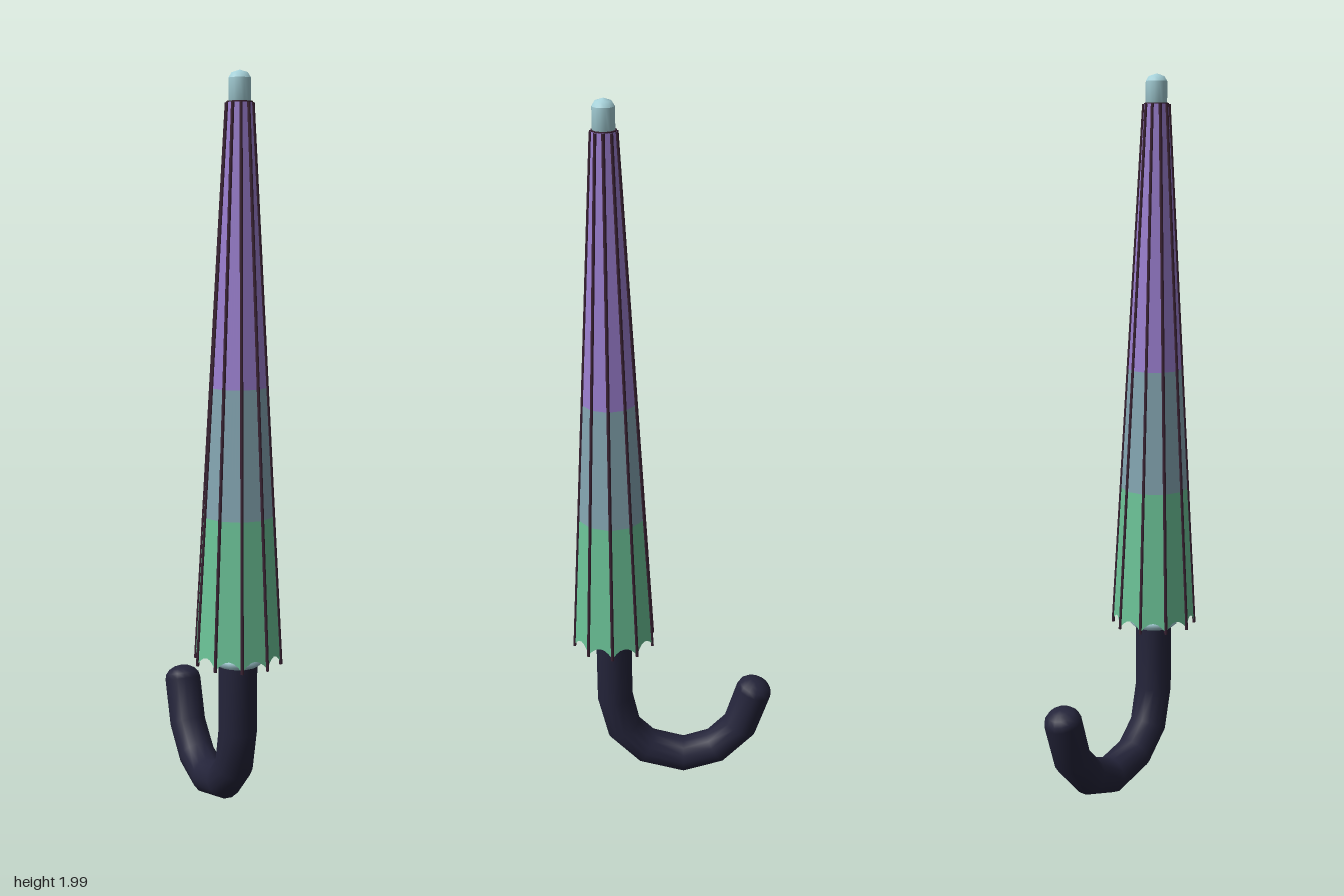
import * as THREE from 'three';

const AXIS_Z = 0.172, PANELS = 10, TOP = 1.92, HEM = 0.465;
const mat = (name, color, side = THREE.FrontSide) => {
  const m = new THREE.MeshStandardMaterial({ color, side });
  m.name = name;
  return m;
};

export function createModel() {
  const purple = mat('purple cloth', 0x9b7fd0, THREE.DoubleSide);
  const teal = mat('teal cloth', 0x84a6b2, THREE.DoubleSide);
  const green = mat('green cloth', 0x6cc498, THREE.DoubleSide);
  purple.flatShading = teal.flatShading = green.flatShading = true;
  const dark = mat('dark rib', 0x3a2233);
  const navy = mat('navy handle', 0x24243a);
  const pale = mat('pale metal', 0xa5d0d8);

  const root = new THREE.Group();
  root.name = 'closedUmbrella';
  const body = new THREE.Group();
  body.name = 'canopyAssembly';
  body.position.z = AXIS_Z;
  root.add(body);
  const add = (parent, name, geo, material, y = 0) => {
    const m = new THREE.Mesh(geo, material);
    m.name = name;
    m.position.y = y;
    parent.add(m);
    return m;
  };

  // Canopy: ten flat panels in three bands, hem arched between the ribs
  const radiusAt = y => 0.117 + (0.034 - 0.117) * (y - HEM) / (TOP - HEM);
  const step = Math.PI * 2 / PANELS;
  const band = (name, y0, y1, arch, material) => {
    const geo = new THREE.CylinderGeometry(1, 1, 1, PANELS * 6, 1, true, step / 2);
    const p = geo.attributes.position;
    for (let i = 0; i < p.count; i++) {
      const t = ((i % (PANELS * 6 + 1)) % 6) / 6;
      const a = Math.atan2(p.getX(i), p.getZ(i));
      const y = p.getY(i) > 0 ? y1 : y0 + arch * 4 * t * (1 - t);
      const r = radiusAt(y) * Math.cos(step / 2) / Math.cos((t - 0.5) * step);
      p.setXYZ(i, Math.sin(a) * r, y, Math.cos(a) * r);
    }
    geo.computeVertexNormals();
    add(body, name, geo, material);
  };
  band('canopyTop', 1.2, TOP, 0, purple);
  band('canopyMiddle', 0.86, 1.2, 0, teal);
  band('canopyHem', HEM, 0.86, 0.025, green);
  add(body, 'canopyCap', new THREE.CylinderGeometry(0.034, 0.034, 0.006, PANELS, 1, false, step / 2), dark, TOP);

  // Ribs along the panel seams
  for (let i = 0; i < PANELS; i++) {
    const a = i * step;
    const at = (y, r) => new THREE.Vector3(Math.cos(a) * r, y, Math.sin(a) * r);
    const path = new THREE.LineCurve3(at(HEM - 0.005, 0.117), at(TOP, 0.034));
    add(body, 'rib', new THREE.TubeGeometry(path, 1, 0.0045, 6), dark);
  }

  // Tip with a rounded end
  const tip = [[0, 1.9], [0.029, 1.9], [0.029, 1.98], [0.029, 1.98], [0.021, 1.993], [0, 2]];
  add(body, 'tip', new THREE.LatheGeometry(tip.map(([x, y]) => new THREE.Vector2(x, y)), 14), pale);

  // Shaft and collar under the canopy
  add(body, 'shaft', new THREE.CylinderGeometry(0.02, 0.02, 1.46, 10), pale, 1.18);
  const collar = [[0, 0.452], [0.058, 0.452], [0.068, 0.461], [0.068, 0.473], [0.058, 0.485], [0, 0.485]];
  add(body, 'collar', new THREE.LatheGeometry(collar.map(([x, y]) => new THREE.Vector2(x, y)), 16), pale);

  // Hooked handle: one ring of the tube at every listed point
  const hook = [[0.172, 0.47], [0.172, 0.265], [0.147, 0.155], [0.08, 0.087], [-0.03, 0.057],
    [-0.125, 0.087], [-0.197, 0.162], [-0.236, 0.284]].map(([z, y]) => new THREE.Vector3(0, y, z));
  const curve = new THREE.CatmullRomCurve3(hook, false, 'catmullrom', 0.5);
  curve.getPointAt = (t, v) => curve.getPoint(t, v);
  curve.getTangentAt = (t, v) => curve.getTangent(t, v);
  add(root, 'handle', new THREE.TubeGeometry(curve, hook.length - 1, 0.052, 14), navy);

  // Domed handle end
  const dome = new THREE.SphereGeometry(0.052, 14, 4, 0, Math.PI * 2, 0, Math.PI / 2);
  dome.scale(1, 0.75, 1);
  const end = add(root, 'handleEnd', dome, navy);
  end.position.copy(hook[hook.length - 1]);
  end.quaternion.setFromUnitVectors(new THREE.Vector3(0, 1, 0), curve.getTangent(1));
  return root;
}
